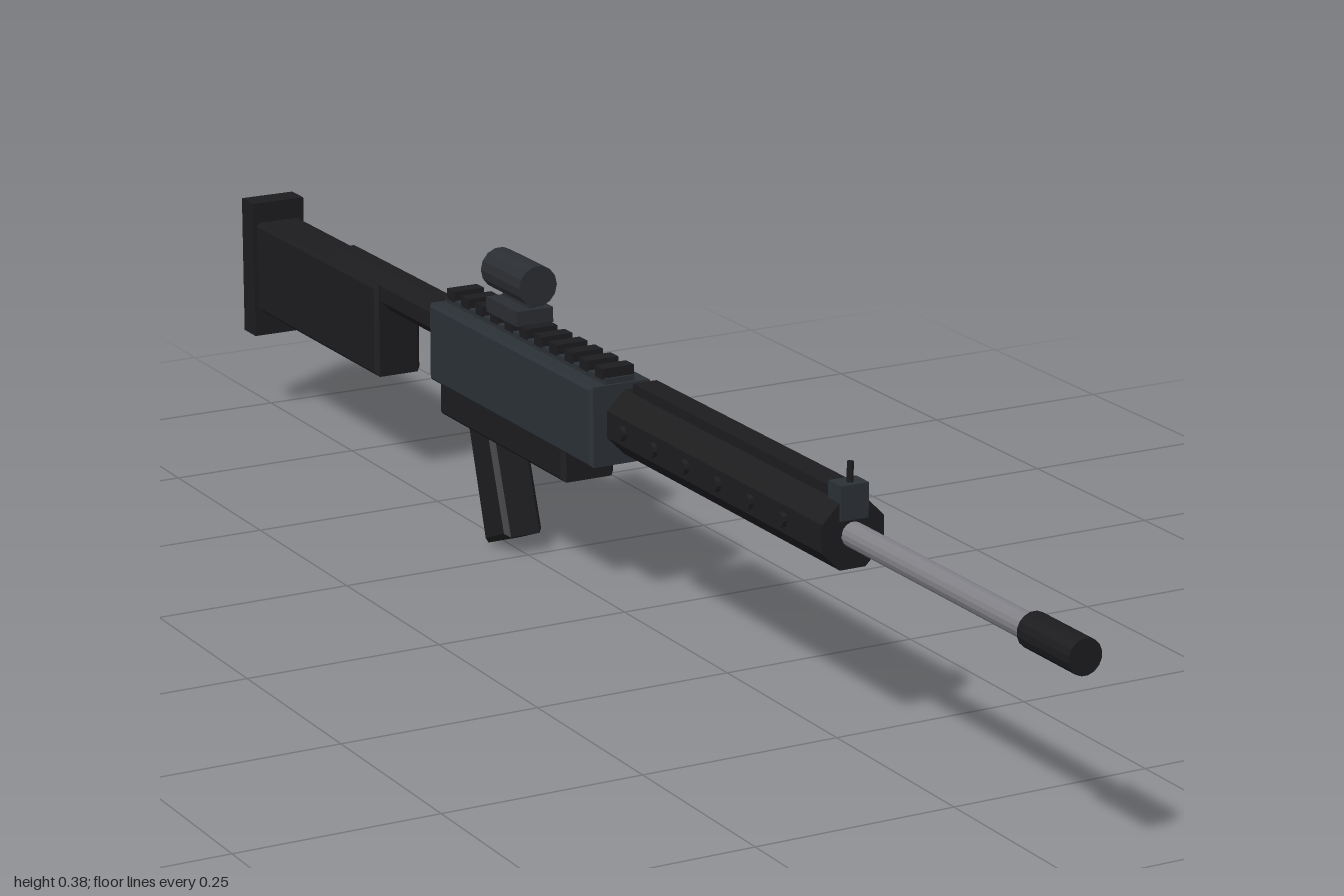
import * as THREE from 'three';

const mat = (color) => new THREE.MeshStandardMaterial({ color, flatShading: true });
const steel = mat(0x2b3036), black = mat(0x1c1c1e), optic = mat(0x2a2d31), metal = mat(0x808086);

export function createModel() {
  const root = new THREE.Group();

  const add = (name, geometry, material, parent = root) => {
    const mesh = new THREE.Mesh(geometry, material);
    mesh.name = name;
    parent.add(mesh);
    return mesh;
  };
  // Box given by its limits: half width, y range, z range
  const box = (name, hw, y0, y1, z0, z1, material, parent) => {
    const m = add(name, new THREE.BoxGeometry(hw * 2, y1 - y0, z1 - z0), material, parent);
    m.position.set(0, (y0 + y1) / 2, (z0 + z1) / 2);
    return m;
  };
  // Round or faceted bar along z
  const bar = (name, r, y, z0, z1, sides, material, parent) => {
    const g = new THREE.CylinderGeometry(r, r, z1 - z0, sides);
    g.rotateY(Math.PI / sides).rotateX(Math.PI / 2);
    const m = add(name, g, material, parent);
    m.position.set(0, y, (z0 + z1) / 2);
    return m;
  };
  // Side outline of (z, y) points, extruded across x with bevelled flanks
  const slab = (name, hw, points, material, bevel = 0.005) => {
    const shape = new THREE.Shape(points.map(([z, y]) => new THREE.Vector2(z, y)));
    const depth = 2 * (hw - bevel);
    const g = new THREE.ExtrudeGeometry(shape, {
      depth, bevelEnabled: true, bevelSegments: 1, bevelSize: bevel, bevelThickness: bevel, bevelOffset: -bevel,
    });
    g.translate(0, 0, -depth / 2).rotateY(-Math.PI / 2);
    return add(name, g, material);
  };
  const rect = (y0, y1, z0, z1) => [[z0, y0], [z1, y0], [z1, y1], [z0, y1]];

  // Barrel and muzzle
  bar('barrel', 0.015, 0.25, 0.5, 0.92, 16, metal);
  bar('muzzle', 0.021, 0.25, 0.9, 1, 16, black);

  // Octagonal handguard with top rail and side studs
  bar('handguard', 0.0433, 0.25, 0.03, 0.53, 8, black);
  box('handguardRail', 0.016, 0.28, 0.302, 0.05, 0.528, black);
  for (let i = 0; i < 6; i++) {
    const g = new THREE.CylinderGeometry(0.009, 0.009, 0.092, 10).rotateZ(Math.PI / 2);
    add('handguardStud', g, black).position.set(0, 0.25, 0.07 + i * 0.075);
  }

  // Front sight
  const sight = new THREE.Group();
  sight.name = 'frontSight';
  root.add(sight);
  box('sightBase', 0.018, 0.268, 0.309, 0.505, 0.533, steel, sight);
  add('sightPost', new THREE.CylinderGeometry(0.004, 0.004, 0.03, 8), black, sight).position.set(0, 0.318, 0.522);

  // Receiver with toothed rail
  slab('receiver', 0.042, rect(0.185, 0.285, -0.435, -0.008), steel, 0.004);
  box('rail', 0.02, 0.283, 0.292, -0.43, -0.012, steel);
  for (let i = 0; i < 11; i++) {
    const z = -0.025 - i * 0.039;
    box('railTooth', 0.021, 0.29, 0.304, z - 0.01, z + 0.01, black);
  }
  slab('lowerReceiver', 0.036, rect(0.143, 0.2, -0.42, -0.09), black);
  box('triggerGuard', 0.012, 0.131, 0.137, -0.245, -0.13, black);
  box('triggerGuardPost', 0.012, 0.131, 0.146, -0.15, -0.13, black);

  // Slanted grip
  slab('grip', 0.026, [[-0.318, 0], [-0.257, 0.024], [-0.305, 0.16], [-0.368, 0.16]], black, 0.006);

  // Optic on its mount
  box('scopeMount', 0.025, 0.303, 0.322, -0.31, -0.228, optic);
  box('scopeStem', 0.005, 0.32, 0.335, -0.305, -0.235, optic);
  bar('scope', 0.026, 0.353, -0.322, -0.22, 14, optic);

  // Stock on an octagonal tube
  bar('stockTube', 0.027, 0.253, -0.755, -0.43, 8, black);
  slab('stock', 0.032, rect(0.142, 0.264, -0.97, -0.607), black);
  box('buttPlate', 0.037, 0.108, 0.291, -1, -0.965, black);

  return root;
}
